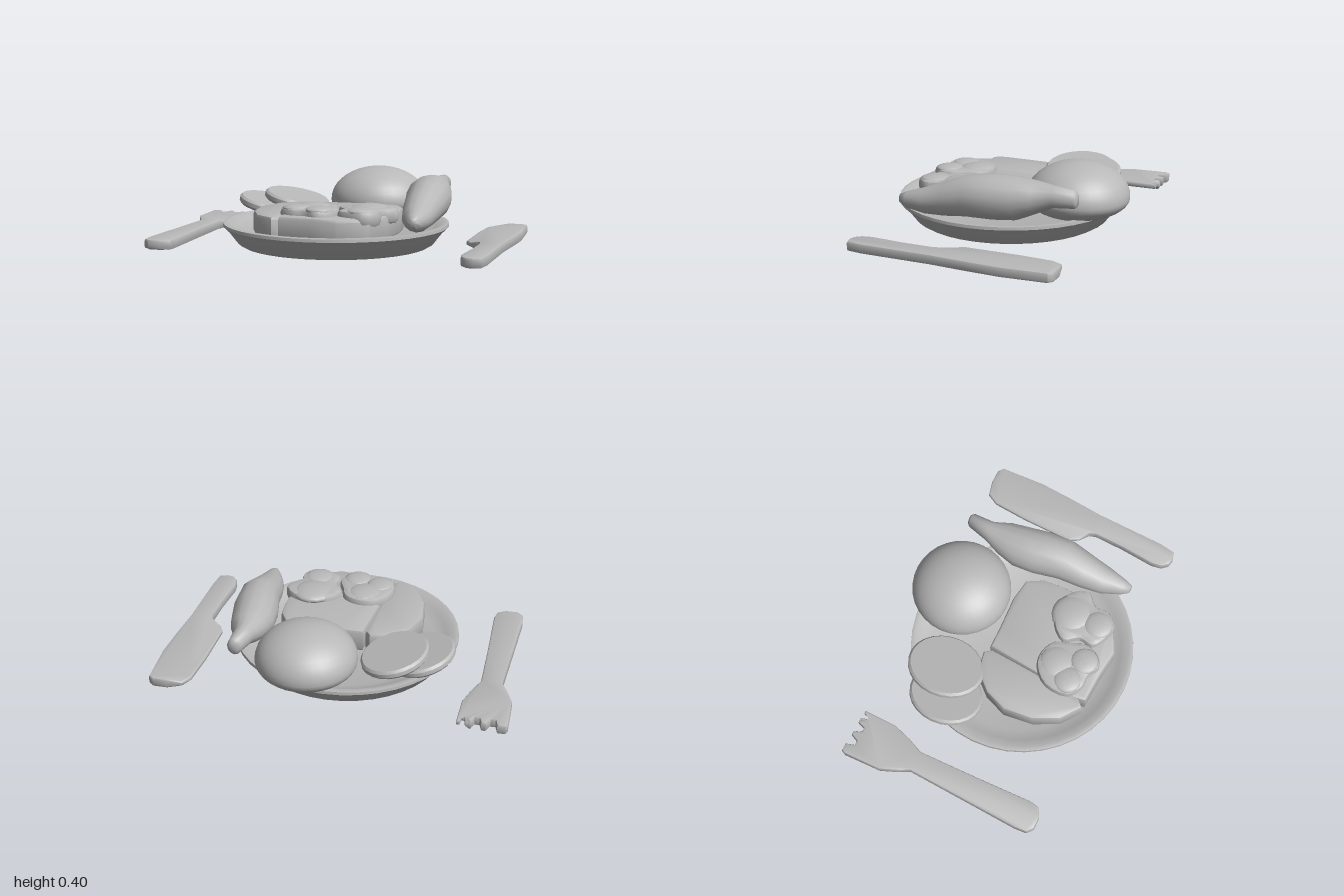
import * as THREE from 'three';
import { toCreasedNormals } from 'three/addons/utils/BufferGeometryUtils.js';

const clay = new THREE.MeshStandardMaterial({ color: 0xb8b8b8 });
clay.name = 'plain grey';

const V2 = (p) => new THREE.Vector2(p[0], p[1]);

function add(group, name, geometry, crease = 0.7) {
  const mesh = new THREE.Mesh(toCreasedNormals(geometry, crease), clay);
  mesh.name = name;
  group.add(mesh);
  return mesh;
}

// Move every vertex by a rule
function warp(geometry, rule) {
  const p = geometry.attributes.position;
  const v = new THREE.Vector3();
  for (let i = 0; i < p.count; i++) {
    rule(v.fromBufferAttribute(p, i));
    p.setXYZ(i, v.x, v.y, v.z);
  }
  return geometry;
}

// Bevelled slab lying flat, from an outline of [x, z] points
function slab(outline, y0, y1, bevel, smooth = false) {
  let pts = outline.map(([x, z]) => new THREE.Vector2(x, -z));
  if (smooth) {
    const loop = pts.map((p) => new THREE.Vector3(p.x, p.y, 0));
    pts = new THREE.CatmullRomCurve3(loop, true).getPoints(outline.length * 3)
      .slice(0, -1).map((p) => new THREE.Vector2(p.x, p.y));
  }
  return new THREE.ExtrudeGeometry(new THREE.Shape(pts), {
    depth: y1 - y0 - 2 * bevel, bevelThickness: bevel, bevelSize: bevel,
    bevelOffset: -bevel, bevelSegments: 2,
  }).rotateX(-Math.PI / 2).translate(0, y0 + bevel, 0);
}

// Body along z from stations [z, centre x, centre y, radius x, radius y]
function loft(stations, sides) {
  const n = stations.length - 1;
  return warp(new THREE.CylinderGeometry(1, 1, 1, sides, n), (v) => {
    const [z, cx, cy, rx, ry] = stations[Math.round((0.5 - v.y) * n)];
    v.set(cx + rx * v.x, cy + ry * v.z, z);
  });
}

function addPlate(g) {
  const profile = [[0, 0.005], [0.53, 0.005], [0.555, 0.02], [0.605, 0.085], [0.637, 0.115],
    [0.635, 0.132], [0.61, 0.135], [0.565, 0.108], [0.5, 0.085], [0, 0.08]].map(V2);
  add(g, 'plate', new THREE.LatheGeometry(profile, 40)).position.set(0, 0, 0.043);
}

function addBun(g) {
  // Round top over a shallow tapered underside
  const bun = warp(new THREE.SphereGeometry(1, 32, 20), (v) => {
    v.set(v.x * 0.282, v.y * (v.y > 0 ? 0.195 : 0.12), v.z * 0.285);
  });
  add(g, 'bun', bun, 1.2).position.set(0.13, 0.205, -0.405);
}

function addDrumstick(g) {
  add(g, 'drumstick', loft([
    [-0.535, 0.5, 0.295, 0.025, 0.035],
    [-0.52, 0.5, 0.297, 0.04, 0.05],
    [-0.4, 0.485, 0.295, 0.058, 0.06],
    [-0.3, 0.488, 0.28, 0.1, 0.09],
    [-0.2, 0.49, 0.265, 0.122, 0.118],
    [-0.08, 0.505, 0.265, 0.13, 0.124],
    [0.07, 0.525, 0.262, 0.117, 0.116],
    [0.2, 0.525, 0.232, 0.1, 0.098],
    [0.32, 0.53, 0.208, 0.08, 0.074],
    [0.43, 0.54, 0.202, 0.044, 0.046],
    [0.47, 0.545, 0.205, 0.022, 0.024],
  ], 14), 1.2);
}

function addSlices(g) {
  const profile = [[0, -0.025], [0.93, -0.025], [1, -0.01], [1, 0.012], [0.94, 0.025], [0, 0.025]].map(V2);
  // x, y, z, radius x, radius z, tilt
  const slices = [[-0.475, 0.18, -0.2, 0.185, 0.21, -0.24], [-0.335, 0.205, -0.27, 0.19, 0.22, -0.22]];
  for (const [x, y, z, rx, rz, tilt] of slices) {
    const slice = add(g, 'roundSlice', new THREE.LatheGeometry(profile, 24).scale(rx, 1, rz));
    slice.position.set(x, y, z);
    slice.rotation.z = tilt;
  }
}

function addMain(g) {
  // Side cut, sloping up a little to its back
  const cut = slab([[-0.16, -0.12], [-0.28, -0.1], [-0.37, 0], [-0.42, 0.13], [-0.4, 0.3],
    [-0.33, 0.44], [-0.22, 0.52], [-0.18, 0.48], [-0.15, 0.2], [-0.13, -0.08]], 0.085, 0.215, 0.02);
  add(g, 'sideCut', cut);

  // Large cut under the garnish
  const main = slab([[-0.12, -0.1], [0, -0.1], [0.2, -0.11], [0.33, -0.09], [0.38, 0], [0.39, 0.12],
    [0.37, 0.34], [0.31, 0.47], [0.15, 0.55], [0, 0.53], [-0.18, 0.52], [-0.2, 0.4], [-0.15, 0.2]],
  0.085, 0.22, 0.02);
  add(g, 'mainCut', main);

  // Lobed garnish pieces
  const lobes = [
    [[-0.2, 0.28], [-0.12, 0.19], [-0.03, 0.175], [0.06, 0.22], [0.09, 0.3], [0.12, 0.38],
      [0.09, 0.47], [0.02, 0.51], [-0.05, 0.475], [-0.12, 0.475], [-0.2, 0.42]],
    [[0.08, 0.26], [0.15, 0.17], [0.28, 0.14], [0.38, 0.19], [0.415, 0.27], [0.35, 0.34],
      [0.35, 0.42], [0.28, 0.49], [0.19, 0.47], [0.12, 0.42], [0.13, 0.34]],
  ];
  for (const outline of lobes) add(g, 'garnish', slab(outline, 0.17, 0.255, 0.025, true));
  // Rounded crowns on the garnish: x, z, radius
  for (const [x, z, r] of [[-0.05, 0.28, 0.1], [-0.12, 0.38, 0.08], [0.02, 0.42, 0.08],
    [0.25, 0.24, 0.12], [0.25, 0.4, 0.085]]) {
    add(g, 'garnishCrown', new THREE.SphereGeometry(r, 16, 10).scale(1, 0.28, 1), 1.2)
      .position.set(x, 0.265 - r * 0.28 + 0.004, z);
  }
}

function addFork(g) {
  const fork = slab([[-0.925, -0.2], [-0.955, -0.26], [-0.995, -0.36], [-1, -0.58], [-0.99, -0.6],
    [-0.945, -0.6], [-0.93, -0.55], [-0.905, -0.55], [-0.885, -0.595], [-0.86, -0.595], [-0.845, -0.55],
    [-0.82, -0.55], [-0.805, -0.595], [-0.775, -0.595], [-0.765, -0.55], [-0.75, -0.55], [-0.745, -0.59],
    [-0.727, -0.59], [-0.73, -0.4], [-0.765, -0.29], [-0.805, -0.2], [-0.8, 0.1], [-0.79, 0.48],
    [-0.8, 0.53], [-0.85, 0.56], [-0.92, 0.56], [-0.955, 0.53], [-0.96, 0.46]], 0.008, 0.064, 0.012);
  // The head is thinner along its inner side
  add(g, 'fork', warp(fork, (v) => {
    if (v.x > -0.79 && v.z < -0.2) v.y = 0.04 + (v.y - 0.036) * 0.55;
  }));
}

function addKnife(g) {
  const knife = slab([[0.99, -0.56], [0.96, -0.583], [0.88, -0.583], [0.8, -0.565], [0.765, -0.5],
    [0.748, -0.3], [0.74, 0], [0.77, 0.05], [0.825, 0.09], [0.837, 0.13], [0.83, 0.3], [0.81, 0.5],
    [0.82, 0.56], [0.85, 0.595], [0.89, 0.603], [0.935, 0.59], [0.95, 0.5], [0.965, 0.1],
    [0.985, -0.1], [1, -0.3]], 0.008, 0.064, 0.012);
  // Thin cutting edge
  add(g, 'knife', warp(knife, (v) => {
    if (v.x < 0.82 && v.z < 0.1) v.y = 0.036 + (v.y - 0.036) * 0.5;
  }));
}

export function createModel() {
  const g = new THREE.Group();
  g.name = 'dinnerSetting';
  for (const build of [addPlate, addBun, addDrumstick, addSlices, addMain, addFork, addKnife]) build(g);
  return g;
}
